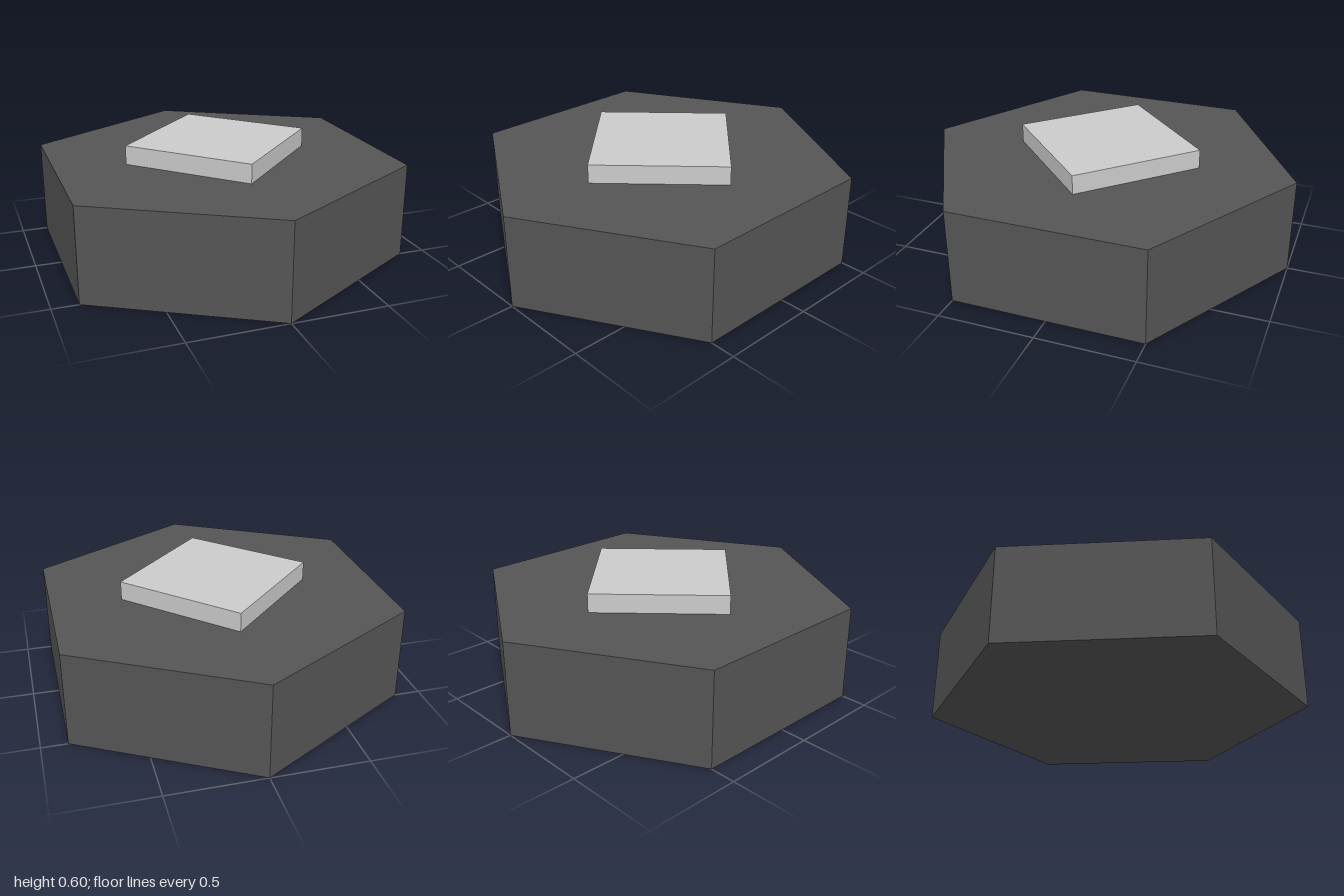
import * as THREE from 'three';

// Upright prism standing on height y, with one corner facing +z
function prism(name, radius, height, sides, y, color) {
  const mesh = new THREE.Mesh(
    new THREE.CylinderGeometry(radius, radius, height, sides),
    new THREE.MeshStandardMaterial({ color, flatShading: true })
  );
  mesh.name = name;
  mesh.position.y = y + height / 2;
  return mesh;
}

export function createModel() {
  const model = new THREE.Group();
  model.name = 'hexagonalBaseWithPlate';

  // Dark hexagonal base
  model.add(prism('base', 1, 0.5, 6, 0, 0x555555));

  // Light square plate on top, turned to a diamond
  model.add(prism('topPlate', 0.5, 0.1, 4, 0.5, 0xcccccc));

  return model;
}
